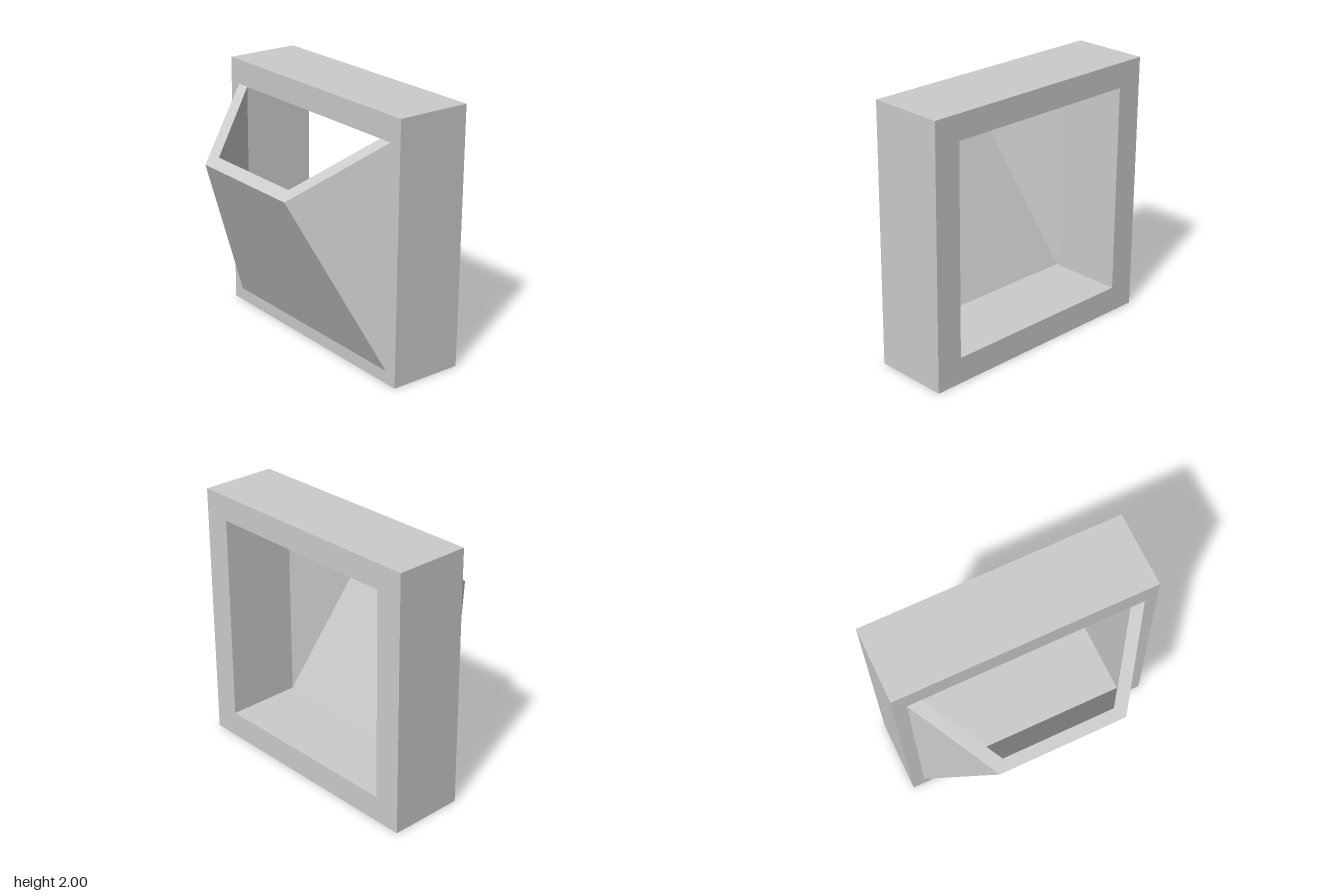
import * as THREE from 'three';

const DEPTH = 0.585;

// Flat-shaded geometry from convex faces, corners counter-clockwise from outside
function facesGeometry(faces) {
  const points = [];
  for (const face of faces)
    for (let i = 1; i < face.length - 1; i++) points.push(face[0], face[i], face[i + 1]);
  const geometry = new THREE.BufferGeometry().setFromPoints(points);
  geometry.computeVertexNormals();
  return geometry;
}

// Corners of one skin of the scoop: bottom, top and lip, on the left (l) and right (r)
function skin(baseX, bottomY, topY, lipX, lipY, lipZ) {
  const v = (x, y, z) => new THREE.Vector3(x, y, z);
  const side = (s) => ({
    bottom: v(s * baseX, bottomY, 0),
    top: v(s * baseX, topY, 0),
    lip: v(s * lipX, lipY, lipZ),
  });
  return { l: side(1), r: side(-1) };
}

// Front panel and two triangular cheeks
function skinFaces({ l, r }) {
  return [
    [r.bottom, l.bottom, l.lip, r.lip],
    [l.bottom, l.top, l.lip],
    [r.bottom, r.lip, r.top],
  ];
}

export function createModel() {
  const group = new THREE.Group();
  const material = new THREE.MeshStandardMaterial({ color: 0xcccccc, flatShading: true });

  // Deep square frame with an opening right through
  const outline = new THREE.Shape([[-1, 0], [1, 0], [1, 2], [-1, 2]].map((p) => new THREE.Vector2(...p)));
  outline.holes.push(new THREE.Path(
    [[-0.79, 0.2], [-0.79, 1.81], [0.79, 1.81], [0.79, 0.2]].map((p) => new THREE.Vector2(...p))));
  const frame = new THREE.Mesh(
    new THREE.ExtrudeGeometry(outline, { depth: DEPTH, bevelEnabled: false }), material);
  frame.position.z = -DEPTH;
  frame.name = 'frame';
  group.add(frame);

  // Thick-walled scoop on the front, open at the top and into the frame
  const outer = skin(0.9, 0.1, 1.81, 0.49, 1.39, DEPTH);
  const inner = skin(0.79, 0.2, 1.81, 0.43, 1.445, 0.505);
  const rim = [
    [outer.l.top, inner.l.top, inner.l.lip, outer.l.lip],
    [outer.r.lip, inner.r.lip, inner.r.top, outer.r.top],
    [outer.r.lip, outer.l.lip, inner.l.lip, inner.r.lip],
  ];
  const scoop = new THREE.Mesh(facesGeometry([
    ...skinFaces(outer),
    ...skinFaces(inner).map((face) => face.reverse()),
    ...rim,
  ]), material);
  scoop.name = 'scoop';
  group.add(scoop);

  return group;
}
